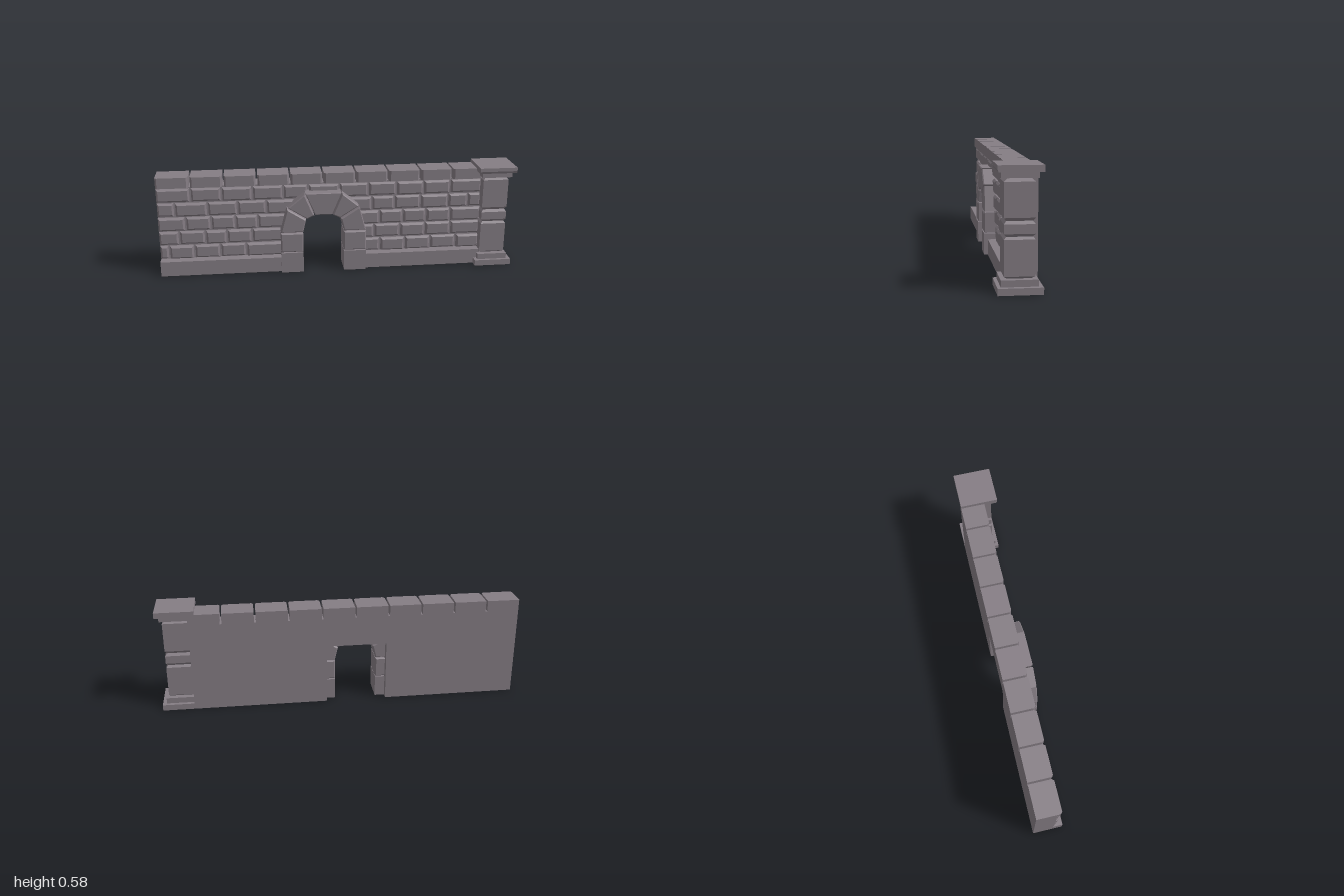
import * as THREE from 'three';

const stone = new THREE.MeshStandardMaterial({ color: 0x857d84, flatShading: true, side: THREE.DoubleSide });
const BACK = -0.105;   // rear plane of the wall
const ARCH_X = -0.085; // centre line of the archway

function add(group, name, geometry) {
  const mesh = new THREE.Mesh(geometry, stone);
  mesh.name = name;
  group.add(mesh);
  return mesh;
}

// Prism with the outline in the xy plane, between two z planes, with chamfered ends
function prism(points, z0, z1, bevel = 0) {
  const shape = new THREE.Shape(points.map(([x, y]) => new THREE.Vector2(x, y)));
  const geo = new THREE.ExtrudeGeometry(shape, {
    depth: z1 - z0 - 2 * bevel, bevelEnabled: bevel > 0, bevelThickness: bevel,
    bevelSize: bevel, bevelOffset: -bevel, bevelSegments: 1,
  });
  return geo.translate(0, 0, z0 + bevel);
}

const rect = (x0, x1, y0, y1) => [[x0, y0], [x1, y0], [x1, y1], [x0, y1]];

function box(x0, x1, y0, y1, z0, z1) {
  return new THREE.BoxGeometry(x1 - x0, y1 - y0, z1 - z0)
    .translate((x0 + x1) / 2, (y0 + y1) / 2, (z0 + z1) / 2);
}

// Box without its underside
function openBox(...args) {
  const geo = box(...args);
  const index = Array.from(geo.index.array);
  index.splice(18, 6);
  geo.setIndex(index);
  geo.clearGroups();
  return geo;
}

function buildWall() {
  const wall = new THREE.Group();
  wall.name = 'wall';

  // Mortar core with a rectangular doorway behind the arch
  add(wall, 'core', prism([
    [-1, 0.085], [-0.255, 0.085], [-0.255, 0.34], [0.08, 0.34], [0.08, 0.085],
    [0.826, 0.085], [0.826, 0.505], [-1, 0.505],
  ], BACK, 0.004));

  // Hollow base courses either side of the doorway
  add(wall, 'leftBase', openBox(0.08, 0.826, 0, 0.085, BACK, 0.06));
  add(wall, 'rightBase', openBox(-1, -0.255, 0, 0.085, BACK, 0.06));

  // Brick courses from the bottom up: runs of joint positions
  const courses = [
    [[-1, -0.95, -0.81, -0.665, -0.52, -0.29], [0.12, 0.245, 0.39, 0.54, 0.69, 0.83]],
    [[-1, -0.89, -0.745, -0.625, -0.485, -0.29], [0.12, 0.21, 0.36, 0.505, 0.655, 0.83]],
    [[-1, -0.85, -0.71, -0.575, -0.45, -0.28], [0.11, 0.24, 0.375, 0.51, 0.65, 0.83]],
    [[-1, -0.905, -0.725, -0.56, -0.4, -0.24, -0.085, 0.035, 0.195, 0.325, 0.475, 0.635, 0.75, 0.83]],
    [[-1, -0.815, -0.645, -0.475, -0.305, -0.165, 0.01, 0.175, 0.335, 0.49, 0.645, 0.83]],
  ];
  courses.forEach((runs, row) => {
    const y = 0.088 + row * 0.0835;
    for (const joints of runs) {
      for (let i = 0; i < joints.length - 1; i++) {
        const x0 = joints[i] + (joints[i] === -1 ? 0 : 0.005);
        const front = 0.022 + 0.004 * ((i * 2 + row) % 3 - 1);
        add(wall, 'brick', prism(rect(x0, joints[i + 1] - 0.005, y, y + 0.075), -0.03, front, 0.01));
      }
    }
  });

  // Coping blocks with chamfered front corners
  for (let i = 0; i < 10; i++) {
    const x0 = -1 + i * 0.1835 + (i ? 0.005 : 0);
    const x1 = Math.min(-1 + (i + 1) * 0.1835 - 0.005, 0.826);
    const plan = [[x0, -BACK], [x1, -BACK], [x1, -0.018], [x1 - 0.01, -0.03], [x0 + 0.01, -0.03], [x0, -0.018]];
    add(wall, 'copingBlock', prism(plan, 0.505, 0.565).rotateX(-Math.PI / 2));
  }
  return wall;
}

function buildArch() {
  const arch = new THREE.Group();
  arch.name = 'arch';
  const z0 = -0.07, z1 = 0.08;

  // Each side is given by distance from the arch centre line and mirrored
  for (const s of [-1, 1]) {
    const X = (d) => ARCH_X + s * d;
    const side = (pts) => {
      const p = pts.map(([d, y]) => [X(d), y]);
      return s > 0 ? p : p.reverse();
    };
    const xs = [X(0.115), X(0.24)].sort((a, b) => a - b);
    add(arch, 'jambFoot', openBox(xs[0], xs[1], 0, 0.118, z0, z1));
    add(arch, 'jambBlock', prism(rect(xs[0], xs[1], 0.122, 0.234), z0, z1, 0.006));
    add(arch, 'lowerVoussoir', prism(side([[0.115, 0.24], [0.24, 0.24], [0.203, 0.378], [0.098, 0.312]]), z0, z1, 0.006));
    add(arch, 'upperVoussoir', prism(side([[0.093, 0.317], [0.198, 0.384], [0.105, 0.46], [0.052, 0.337]]), z0, z1, 0.006));
  }
  add(arch, 'keystone', prism([
    [ARCH_X - 0.047, 0.34], [ARCH_X + 0.047, 0.34], [ARCH_X + 0.1, 0.465], [ARCH_X - 0.1, 0.465],
  ], z0, z1, 0.004));
  return arch;
}

function buildPillar() {
  const pillar = new THREE.Group();
  pillar.name = 'pillar';

  // Plinth and capital steps
  add(pillar, 'plinth', box(0.79, 1, 0, 0.033, BACK, 0.105));
  add(pillar, 'plinthStep', box(0.808, 0.978, 0.033, 0.065, -0.085, 0.088));
  add(pillar, 'capitalStep', box(0.808, 0.978, 0.525, 0.553, -0.085, 0.088));
  const cap = [[-0.105, 0.553], [0.1, 0.553], [0.105, 0.565], [0.105, 0.585], [-0.105, 0.585]];
  add(pillar, 'capital', prism(cap, -0.105, 0.105).rotateY(-Math.PI / 2).translate(0.895, 0, 0));

  // Square shaft of three chamfered blocks, profile of half width and height
  const profile = [
    [0, 0.063], [0.052, 0.063], [0.072, 0.077], [0.072, 0.246], [0.061, 0.258],
    [0.072, 0.272], [0.072, 0.316], [0.061, 0.33], [0.072, 0.345], [0.072, 0.507], [0.05, 0.526], [0, 0.526],
  ].map(([r, y]) => new THREE.Vector2(r * Math.SQRT2, y));
  const shaft = new THREE.LatheGeometry(profile, 4).rotateY(Math.PI / 4).translate(0.892, 0, 0.001);
  add(pillar, 'shaft', shaft);
  return pillar;
}

export function createModel() {
  const model = new THREE.Group();
  model.name = 'archedWall';
  model.add(buildWall(), buildArch(), buildPillar());
  return model;
}
